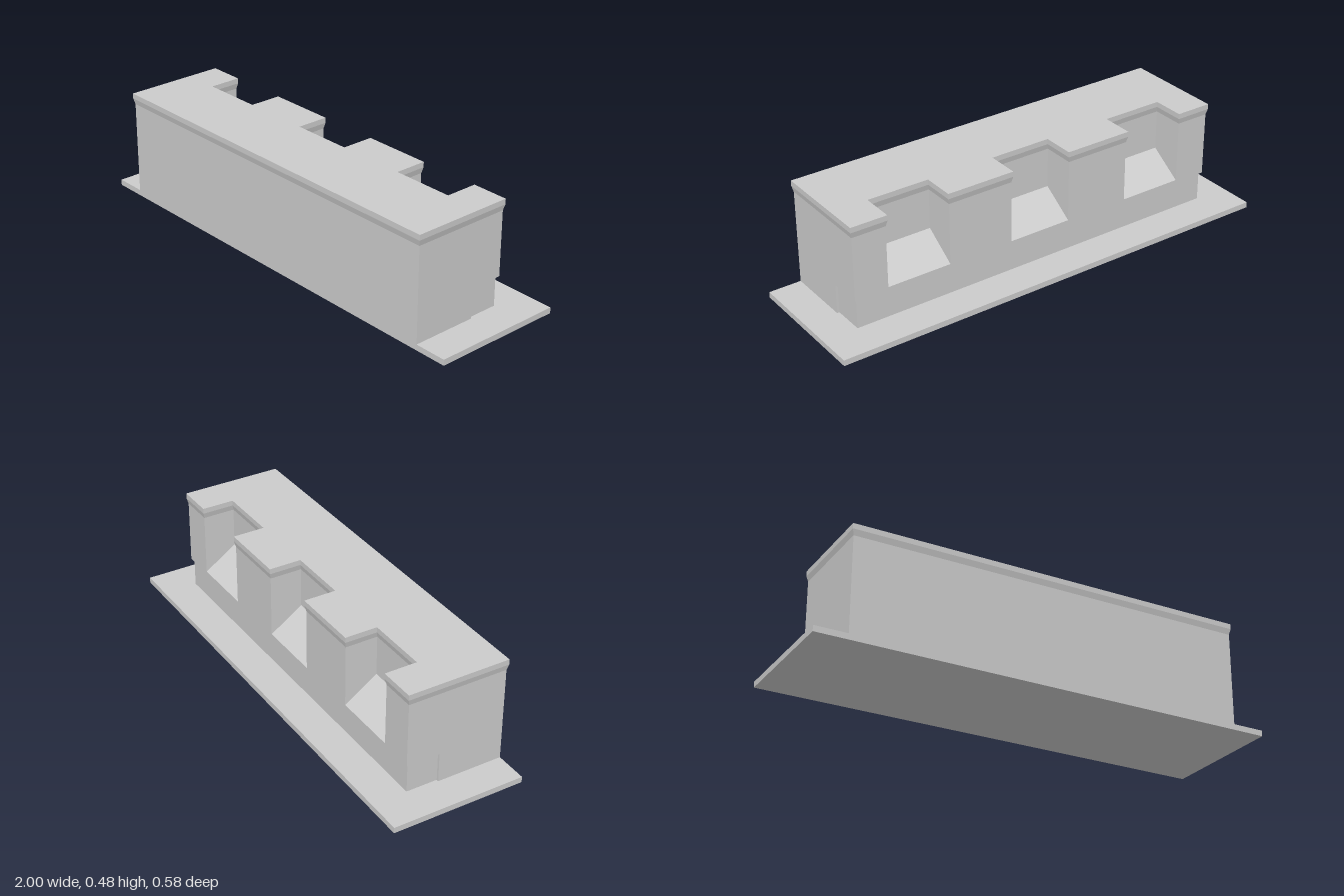
import * as THREE from 'three';

const material = new THREE.MeshStandardMaterial({ color: 0xcccccc, flatShading: true });

function add(group, name, geometry) {
  const mesh = new THREE.Mesh(geometry, material);
  mesh.name = name;
  group.add(mesh);
  return mesh;
}

function block(group, name, [x0, x1], [y0, y1], [z0, z1]) {
  const geometry = new THREE.BoxGeometry(x1 - x0, y1 - y0, z1 - z0);
  geometry.translate((x0 + x1) / 2, (y0 + y1) / 2, (z0 + z1) / 2);
  return add(group, name, geometry);
}

const FRONT = 0.284, BACK = -0.145, HALF = 0.86;
const BAY_WALL = -0.005, BAY_HALF = 0.141, BAYS = [0.572, 0, -0.572];

// Plan of the upper walls with three bays cut into the back, grown outward by o.
// Points are (x, -z), anticlockwise seen from above.
function plan(o) {
  const back = -BACK + o, inner = -BAY_WALL + o;
  const points = [[-HALF - o, -FRONT - o], [HALF + o, -FRONT - o], [HALF + o, back]];
  for (const c of BAYS) {
    const r = c + BAY_HALF - o, l = c - BAY_HALF + o;
    points.push([r, back], [r, inner], [l, inner], [l, back]);
  }
  points.push([-HALF - o, back]);
  return points.map(([x, y]) => new THREE.Vector2(x, y));
}

// Stacked plans joined by walls and closed with caps.
function loft(levels) {
  const rings = levels.map(([y, o]) => plan(o).map(p => new THREE.Vector3(p.x, y, -p.y)));
  const n = rings[0].length, positions = [];
  const tri = (a, b, c) => positions.push(...a.toArray(), ...b.toArray(), ...c.toArray());
  for (let k = 0; k + 1 < rings.length; k++) {
    for (let i = 0; i < n; i++) {
      const j = (i + 1) % n, lo = rings[k], hi = rings[k + 1];
      tri(lo[i], lo[j], hi[j]);
      tri(lo[i], hi[j], hi[i]);
    }
  }
  const top = rings[rings.length - 1], bottom = rings[0];
  for (const [a, b, c] of THREE.ShapeUtils.triangulateShape(plan(0), [])) {
    tri(top[a], top[b], top[c]);
    tri(bottom[c], bottom[b], bottom[a]);
  }
  const geometry = new THREE.BufferGeometry();
  geometry.setAttribute('position', new THREE.Float32BufferAttribute(positions, 3));
  geometry.computeVertexNormals();
  return geometry;
}

export function createModel() {
  const group = new THREE.Group();
  group.name = 'parapet';

  // Ground slab and lower walls, the rear part slightly recessed
  block(group, 'baseSlab', [-1, 1], [0, 0.025], [-0.287, FRONT]);
  block(group, 'lowerFrontWall', [-HALF, HALF], [0.025, 0.153], [0, FRONT]);
  block(group, 'lowerRearPlinth', [-0.85, 0.85], [0.025, 0.153], [-0.135, 0]);

  // Upper walls, ending in a flared cornice
  add(group, 'upperWallAndCornice',
    loft([[0.153, 0], [0.43, 0], [0.455, 0.006], [0.478, 0.006]]));

  // Sloping floors of the bays
  const slope = new THREE.Shape([
    [-BACK, 0.153], [-BACK, 0.163], [-BAY_WALL, 0.258], [-BAY_WALL, 0.153],
  ].map(([x, y]) => new THREE.Vector2(x, y)));
  for (const c of BAYS) {
    const geometry = new THREE.ExtrudeGeometry(slope, { depth: 2 * BAY_HALF, bevelEnabled: false });
    geometry.translate(0, 0, -BAY_HALF).rotateY(Math.PI / 2);
    add(group, 'bayFloor', geometry).position.x = c;
  }
  return group;
}
